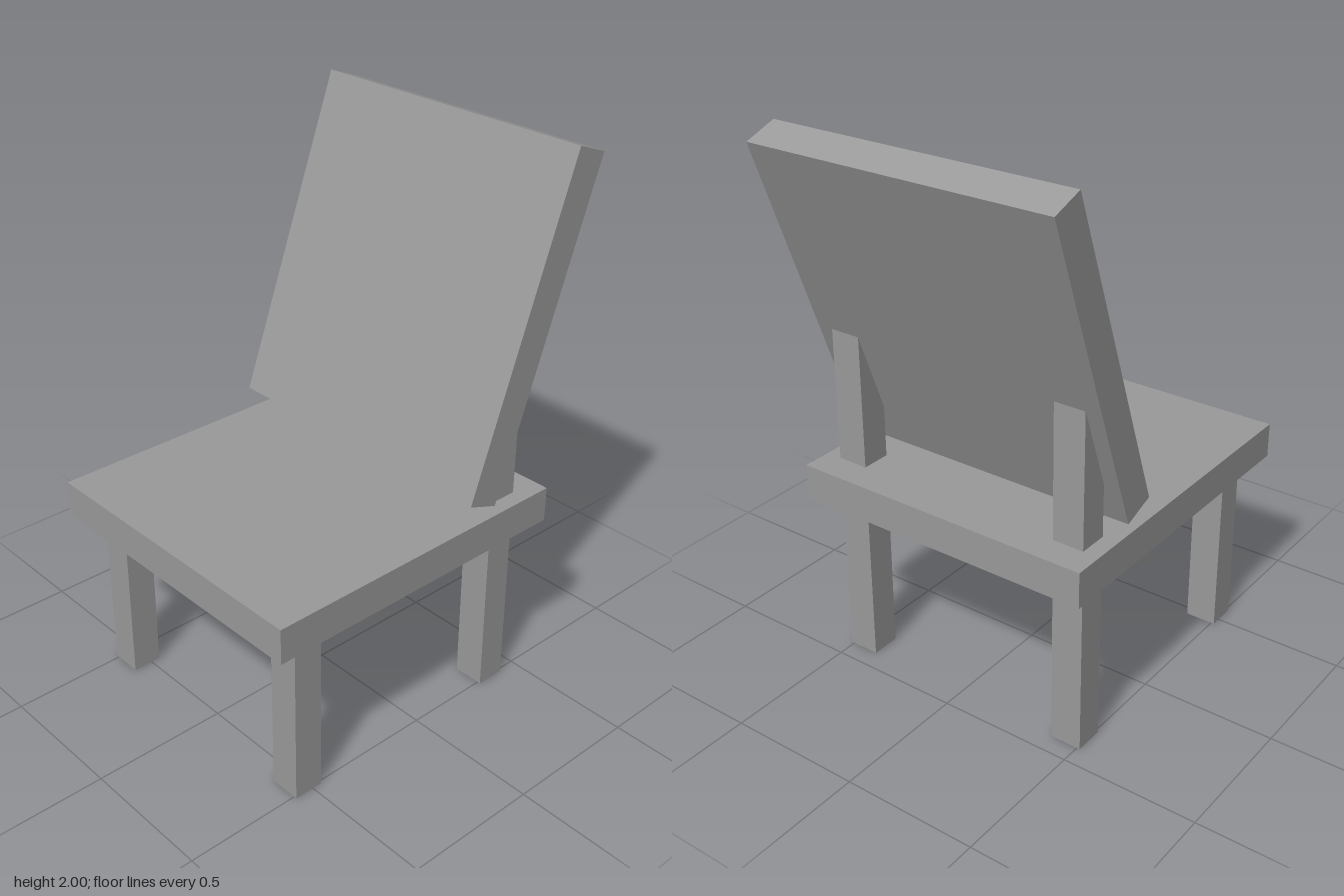
import * as THREE from 'three';

export function createModel() {
  const model = new THREE.Group();
  model.name = 'chair';
  const material = new THREE.MeshStandardMaterial({ flatShading: true });
  material.color.set(0x9a9a9a);

  const addBox = (name, size, position) => {
    const mesh = new THREE.Mesh(new THREE.BoxGeometry(...size), material);
    mesh.name = name;
    mesh.position.set(...position);
    model.add(mesh);
    return mesh;
  };

  const width = 1.142;
  const legWidth = 0.116;
  const legDepth = 0.109;
  const rearZ = -0.372;
  const seatBottom = 0.647;
  const seatThickness = 0.13;
  const seatTop = seatBottom + seatThickness;
  const postTop = 1.3;

  // Seat slab
  addBox('seat', [width, seatThickness, 1.214], [0, seatBottom + seatThickness / 2, 0.073]);

  // Backrest, leaning backwards
  const backrest = addBox('backrest', [width, 1.212, 0.127], [0, 1.409, -0.411]);
  backrest.rotation.x = -THREE.MathUtils.degToRad(20);

  // Four legs, and two posts that carry the backrest above the rear legs
  for (const [side, x] of [['left', 0.453], ['right', -0.453]]) {
    addBox(`${side}FrontLeg`, [legWidth, seatBottom, legDepth], [x, seatBottom / 2, 0.519]);
    addBox(`${side}RearLeg`, [legWidth, seatBottom, legDepth], [x, seatBottom / 2, rearZ]);
    addBox(`${side}BackPost`, [legWidth, postTop - seatTop, legDepth], [x, (postTop + seatTop) / 2, rearZ]);
  }

  return model;
}
